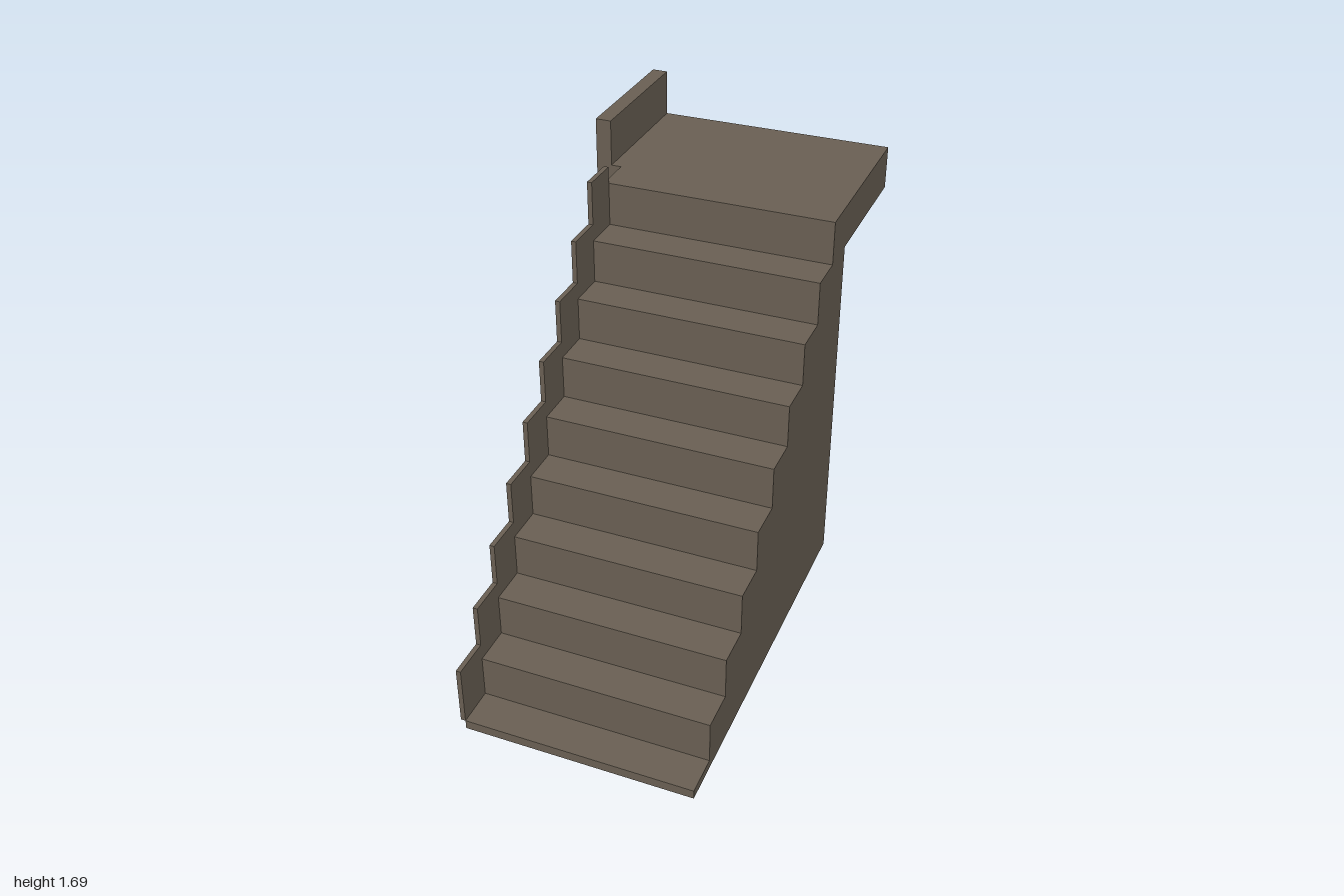
import * as THREE from 'three';

const STEPS = 9, RUN = 0.145, RISE = 0.1643, FIRST = 0.035;
const LEFT = -0.37, RIGHT = 0.482;            // width of the flight
const WALL_BACK = -0.455, BACK = -1;
const stepZ = (i) => 1 - RUN * i;             // front edge of tread i
const stepY = (i) => FIRST + RISE * i;        // height of tread i
const LANDING_TOP = stepY(STEPS), LANDING_BOTTOM = stepY(STEPS - 1);

// Extrudes a [z, y] outline across x, from x0 to x1
function extrudeAcross(points, x0, x1) {
  const shape = new THREE.Shape(points.map(([z, y]) => new THREE.Vector2(z, y)));
  const geometry = new THREE.ExtrudeGeometry(shape, { depth: x1 - x0, bevelEnabled: false });
  return geometry.rotateY(-Math.PI / 2).translate(x1, 0, 0);
}

export function createModel() {
  const model = new THREE.Group();
  model.name = 'staircase';
  const stone = new THREE.MeshStandardMaterial({ color: 0x6b6155 });
  stone.name = 'brown stone';

  const add = (name, geometry) => {
    const mesh = new THREE.Mesh(geometry, stone);
    mesh.name = name;
    model.add(mesh);
  };

  // Solid flight of steps
  const flight = [[1, 0]];
  for (let i = 0; i <= STEPS; i++) {
    flight.push([stepZ(i), stepY(i)]);
    if (i < STEPS) flight.push([stepZ(i + 1), stepY(i)]);
  }
  flight.push([WALL_BACK, LANDING_TOP], [WALL_BACK, 0]);
  add('stepFlight', extrudeAcross(flight, LEFT, RIGHT));

  // Thin stepped side panel, rising above the treads
  const panel = [];
  for (let i = 0; i < STEPS; i++) {
    const top = stepY(i) + 0.228;
    panel.push([stepZ(i), top], [stepZ(i + 1), top]);
  }
  panel.push([stepZ(STEPS), LANDING_TOP], [WALL_BACK, LANDING_TOP], [WALL_BACK, LANDING_BOTTOM]);
  for (let i = STEPS - 1; i > 0; i--) {
    panel.push([stepZ(i), stepY(i)], [stepZ(i), stepY(i - 1)]);
  }
  panel.push([1, FIRST]);
  add('sidePanel', extrudeAcross(panel, -0.388, LEFT));

  // Landing with a low parapet along one edge
  const section = new THREE.Shape([
    [-0.485, LANDING_BOTTOM], [RIGHT, LANDING_BOTTOM], [RIGHT, LANDING_TOP],
    [-0.426, LANDING_TOP], [-0.426, 1.687], [-0.485, 1.687],
  ].map(([x, y]) => new THREE.Vector2(x, y)));
  const landing = new THREE.ExtrudeGeometry(section, { depth: WALL_BACK - BACK, bevelEnabled: false });
  add('landing', landing.translate(0, 0, BACK));

  return model;
}
